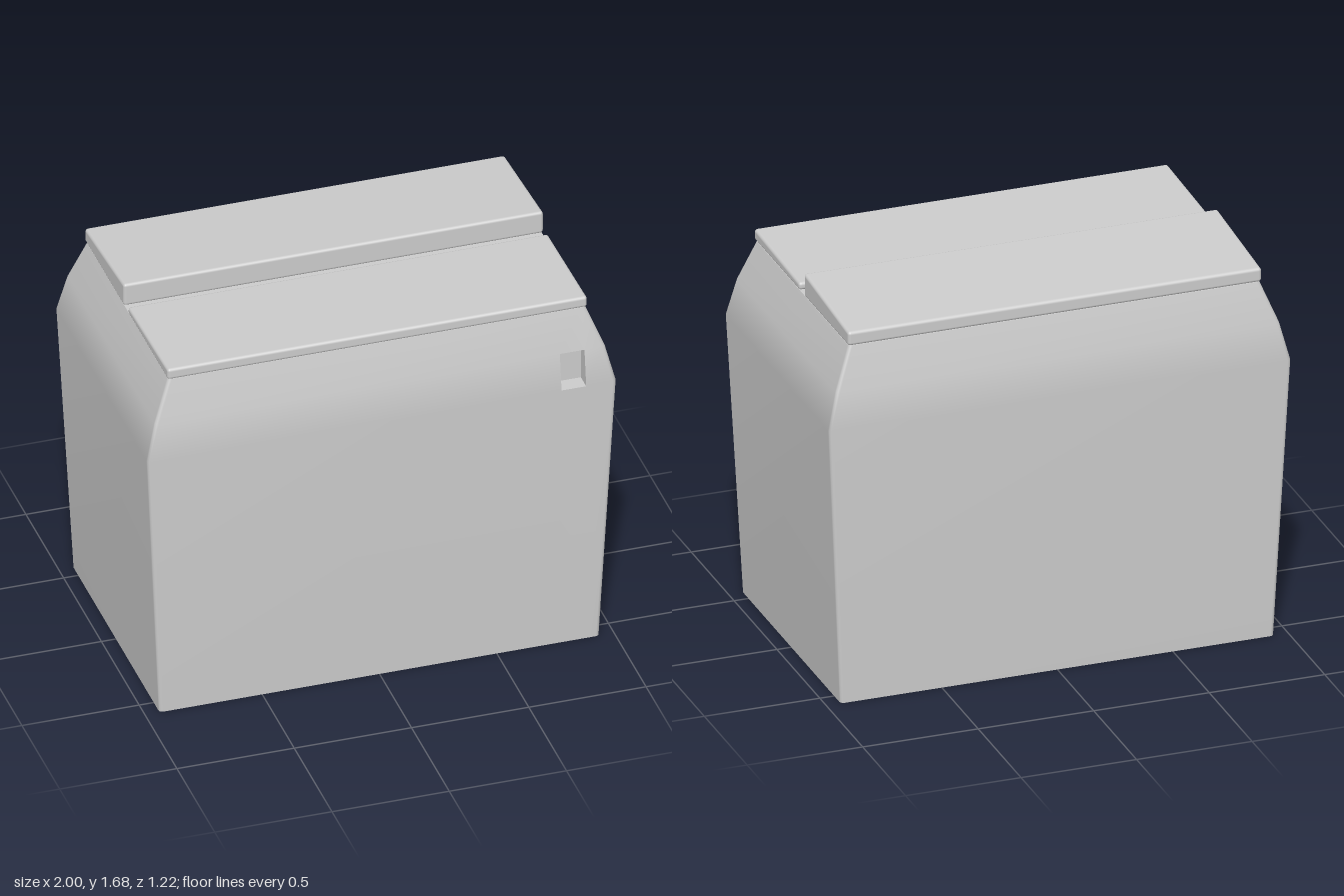
import * as THREE from 'three';
import { RoundedBoxGeometry } from 'three/addons/geometries/RoundedBoxGeometry.js';

const material = new THREE.MeshStandardMaterial({ color: 0xcccccc, side: THREE.DoubleSide });

// Body levels: [y, half width, half depth]
const LEVELS = [
  [0, 0.938, 0.577],
  [1.238, 1.0, 0.611],
  [1.4, 0.96, 0.588],
  [1.577, 0.89, 0.544],
];
const SLOT = { left: 0.765, right: 0.87, level: 1, back: 0.54 };
const CORNER = 0.016;
const ARC = 3;

// Rounded rectangle, counter-clockwise seen from below, with two slot points on the front side
function ring([y, w, d]) {
  const points = [];
  const corners = [[1, 1], [1, -1], [-1, -1], [-1, 1]];
  corners.forEach(([sx, sz], c) => {
    for (let i = 0; i <= ARC; i++) {
      const a = Math.PI / 2 * (1 - c - i / ARC);
      points.push([
        sx * (w - CORNER) + CORNER * Math.cos(a), y,
        sz * (d - CORNER) + CORNER * Math.sin(a),
      ]);
    }
  });
  points.push([SLOT.left, y, d], [SLOT.right, y, d]);
  return points;
}

function indexed(points, index) {
  const geometry = new THREE.BufferGeometry();
  geometry.setAttribute('position', new THREE.Float32BufferAttribute(points.flat(), 3));
  geometry.setIndex(index);
  geometry.computeVertexNormals();
  return geometry;
}

// Open-bottomed shell lofted through the levels, leaving the slot quad open
function shellGeometry() {
  const rings = LEVELS.map(ring);
  const n = rings[0].length;
  const index = [];
  for (let r = 0; r < rings.length - 1; r++) {
    for (let i = 0; i < n; i++) {
      if (r === SLOT.level && i === n - 2) continue;
      const a = r * n + i, b = r * n + (i + 1) % n;
      index.push(a, b, b + n, a, b + n, a + n);
    }
  }
  return indexed(rings.flat(), index);
}

// Flat deck closing the top of the shell
function deckGeometry() {
  const points = ring(LEVELS[LEVELS.length - 1]);
  const index = [];
  for (let i = 1; i < points.length - 1; i++) index.push(0, i, i + 1);
  return indexed(points, index);
}

// Recess behind the slot: four walls and a back
function recessGeometry() {
  const [y0, , z0] = LEVELS[SLOT.level], [y1, , z1] = LEVELS[SLOT.level + 1];
  const { left: l, right: r, back } = SLOT;
  const front = [[l, y0, z0], [r, y0, z0], [r, y1, z1], [l, y1, z1]];
  const rear = front.map(([x, y]) => [x, y, back]);
  const points = [...rear];
  const index = [0, 1, 2, 0, 2, 3];
  for (let i = 0; i < 4; i++) {
    const j = (i + 1) % 4, k = points.length;
    points.push(front[i], front[j], rear[j], rear[i]);
    index.push(k, k + 1, k + 2, k, k + 2, k + 3);
  }
  return indexed(points, index);
}

// Rounded slab whose upper half is sheared so the top slopes along z
function lidGeometry(zBack, zFront, yBack, yFront) {
  const base = LEVELS[LEVELS.length - 1][0] + 0.001;
  const depth = zFront - zBack, height = (yBack + yFront) / 2 - base;
  const slope = (yFront - yBack) / depth;
  const geometry = new RoundedBoxGeometry(1.79, height, depth, 3, 0.013);
  const { position: p, normal: n } = geometry.attributes;
  const v = new THREE.Vector3();
  for (let i = 0; i < p.count; i++) {
    if (p.getY(i) <= 0) continue;
    p.setY(i, p.getY(i) + slope * p.getZ(i));
    v.fromBufferAttribute(n, i);
    v.z -= slope * v.y;
    v.normalize();
    n.setXYZ(i, v.x, v.y, v.z);
  }
  return geometry.translate(0, base + height / 2, (zBack + zFront) / 2);
}

export function createModel() {
  const model = new THREE.Group();
  model.name = 'bin';
  const add = (name, geometry) => {
    const mesh = new THREE.Mesh(geometry, material);
    mesh.name = name;
    model.add(mesh);
  };
  add('bodyShell', shellGeometry());
  add('topDeck', deckGeometry());
  add('slotRecess', recessGeometry());
  add('frontLid', lidGeometry(0.024, 0.551, 1.611, 1.628));
  add('backLid', lidGeometry(-0.549, -0.031, 1.639, 1.681));
  return model;
}
